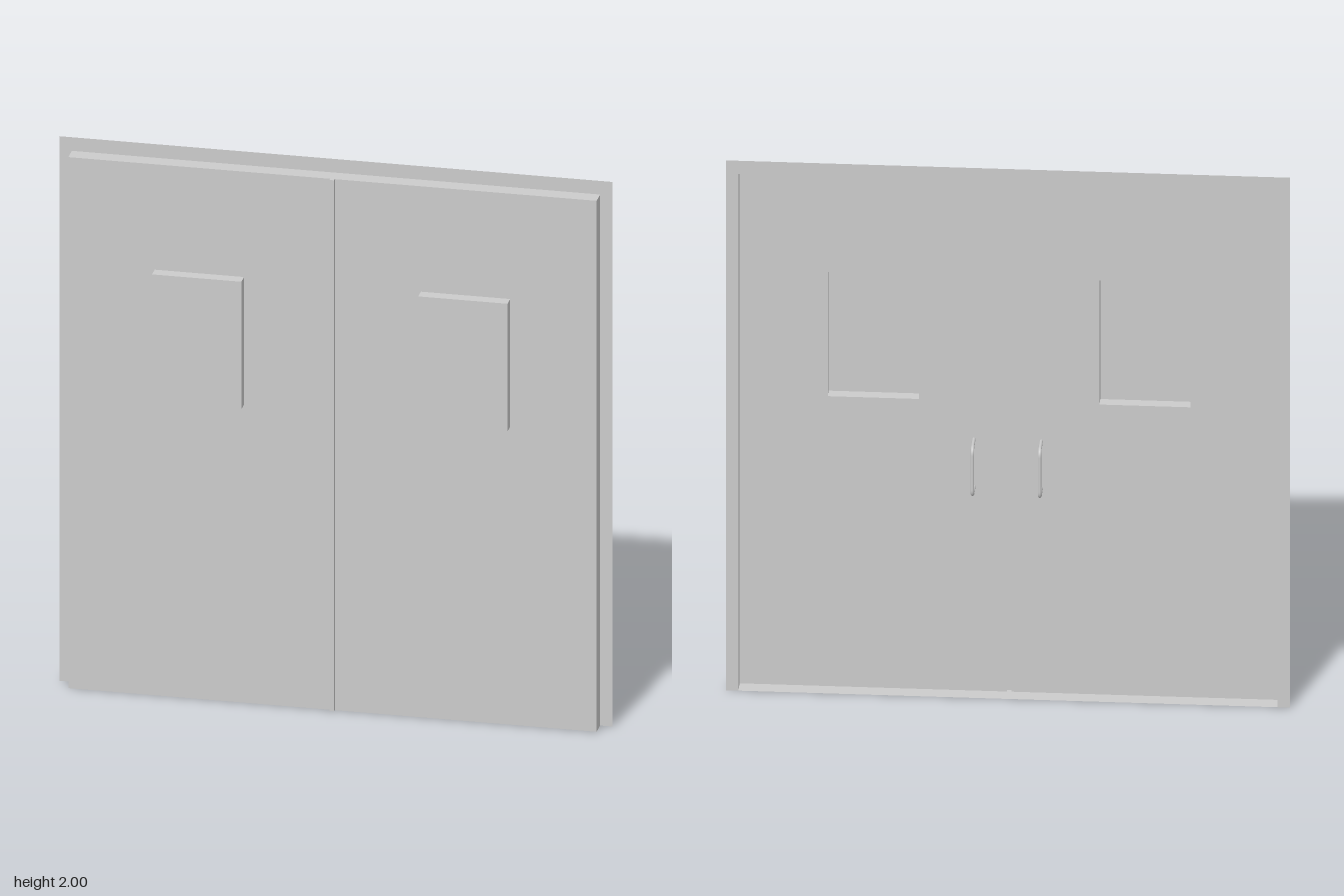
import * as THREE from 'three';

const material = new THREE.MeshStandardMaterial({ color: 0xcccccc, side: THREE.DoubleSide, flatShading: true });
const smooth = new THREE.MeshStandardMaterial({ color: 0xcccccc });

// Depths of the pressed sheet, from the frame at the back to the window faces
const FRAME_Z = -0.037, DOOR_Z = 0.02, STRIP_Z = 0.031, WINDOW_Z = 0.063;
const HALF_W = 0.96, HEIGHT = 2, OPEN_X = 0.917, OPEN_Y = 1.95, GAP = 0.008;

const rect = (x0, x1, y0, y1) => [[x0, y0], [x1, y0], [x1, y1], [x0, y1]].map(p => new THREE.Vector2(...p));

function addMesh(parent, name, geometry, mat = material) {
  const mesh = new THREE.Mesh(geometry, mat);
  mesh.name = name;
  parent.add(mesh);
  return mesh;
}

// Flat sheet at depth z
function sheet(parent, name, outline, z, hole) {
  const shape = new THREE.Shape(outline);
  if (hole) shape.holes.push(new THREE.Path(hole));
  addMesh(parent, name, new THREE.ShapeGeometry(shape)).position.z = z;
}

// Four thin walls around a rectangle, joining depth z0 to z1
function walls(parent, name, [x0, x1, y0, y1], z0, z1) {
  const group = new THREE.Group();
  group.name = name;
  const depth = z1 - z0, z = (z0 + z1) / 2;
  for (const x of [x0, x1]) {
    const side = new THREE.PlaneGeometry(depth, y1 - y0).rotateY(x === x0 ? -Math.PI / 2 : Math.PI / 2);
    addMesh(group, 'sideWall', side).position.set(x, (y0 + y1) / 2, z);
  }
  for (const y of [y0, y1]) {
    const level = new THREE.PlaneGeometry(x1 - x0, depth).rotateX(y === y0 ? Math.PI / 2 : -Math.PI / 2);
    addMesh(group, 'levelWall', level).position.set((x0 + x1) / 2, y, z);
  }
  parent.add(group);
}

// Pull handle: a bar with rounded bends, fixed to the back of the door
function handleGeometry() {
  const r = 0.006, y0 = 0.771, y1 = 0.949, z = -0.058, bend = 0.024;
  const v = (y, zz) => new THREE.Vector3(0, y, zz);
  const path = new THREE.CurvePath();
  path.add(new THREE.LineCurve3(v(y0, DOOR_Z), v(y0, z + bend)));
  path.add(new THREE.QuadraticBezierCurve3(v(y0, z + bend), v(y0, z), v(y0 + bend, z)));
  path.add(new THREE.LineCurve3(v(y0 + bend, z), v(y1 - bend, z)));
  path.add(new THREE.QuadraticBezierCurve3(v(y1 - bend, z), v(y1, z), v(y1, z + bend)));
  path.add(new THREE.LineCurve3(v(y1, z + bend), v(y1, DOOR_Z)));
  return new THREE.TubeGeometry(path, 64, r, 10);
}

export function createModel() {
  const model = new THREE.Group();
  model.name = 'doubleDoor';

  // Flat frame around the sides and top of the opening
  const frame = [[-HALF_W, 0], [-OPEN_X, 0], [-OPEN_X, OPEN_Y], [OPEN_X, OPEN_Y],
    [OPEN_X, 0], [HALF_W, 0], [HALF_W, HEIGHT], [-HALF_W, HEIGHT]];
  sheet(model, 'frame', frame.map(p => new THREE.Vector2(...p)), FRAME_Z);
  walls(model, 'frameReveal', [-OPEN_X, OPEN_X, 0, OPEN_Y], FRAME_Z, DOOR_Z);

  // Channel between the two leaves
  const strip = [-GAP, GAP, 0, OPEN_Y];
  sheet(model, 'centreStrip', rect(...strip), STRIP_Z);
  walls(model, 'centreStripWalls', strip, DOOR_Z, STRIP_Z);

  // Door leaves with boxed windows and handles
  for (const [name, s, handleX] of [['left', 1, 0.12], ['right', -1, -0.109]]) {
    const leaf = new THREE.Group();
    leaf.name = name + 'Door';
    const span = (a, b) => (s > 0 ? [a, b] : [-b, -a]);
    const win = [...span(0.307, 0.617), 1.094, 1.563];
    sheet(leaf, 'doorPanel', rect(...span(GAP, OPEN_X), 0, OPEN_Y), DOOR_Z, rect(...win));
    sheet(leaf, 'windowPane', rect(...win), WINDOW_Z);
    walls(leaf, 'windowReveal', win, DOOR_Z, WINDOW_Z);
    addMesh(leaf, 'handle', handleGeometry(), smooth).position.x = handleX;
    model.add(leaf);
  }
  return model;
}
